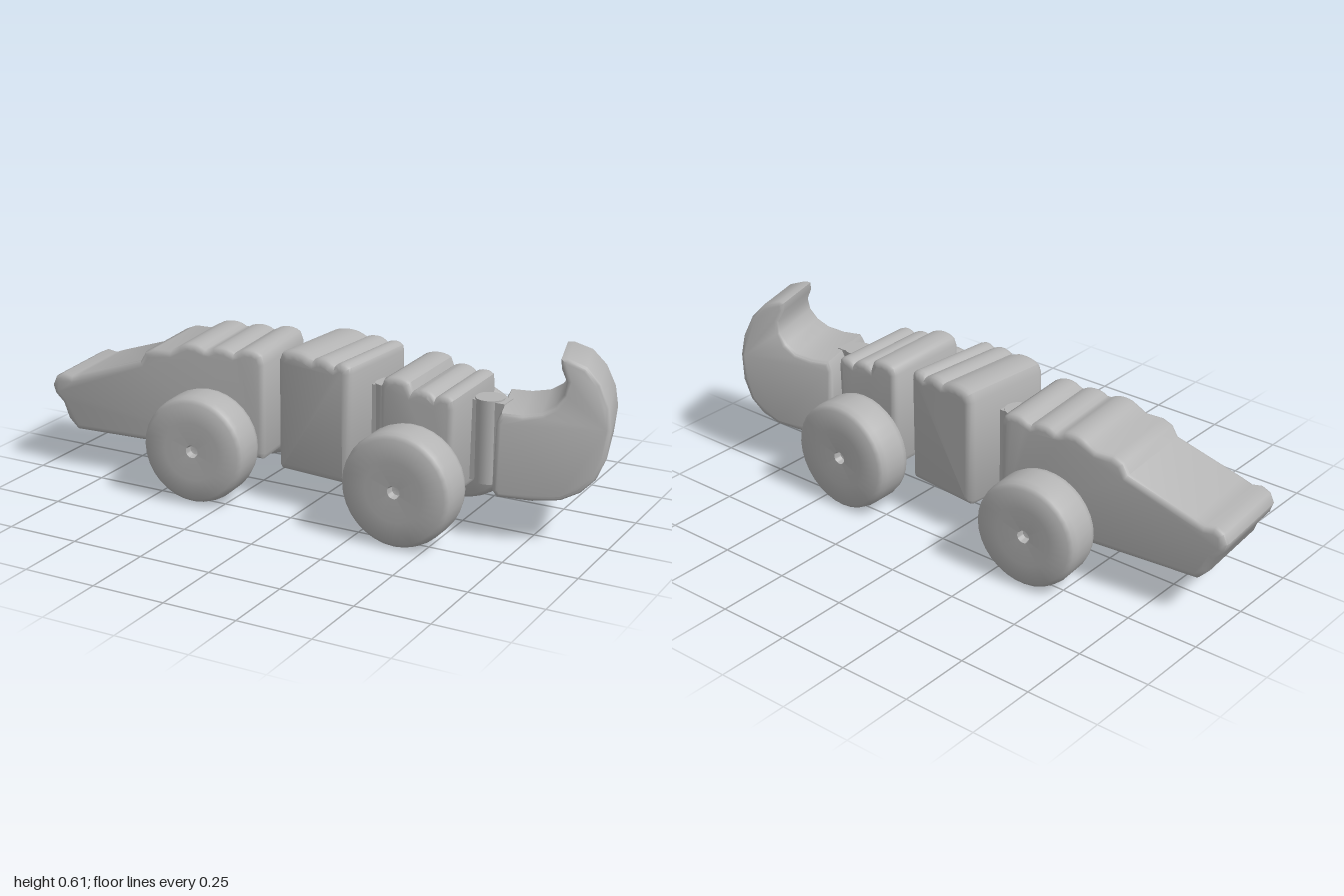
import * as THREE from 'three';
import { toCreasedNormals } from 'three/addons/utils/BufferGeometryUtils.js';

const paint = new THREE.MeshStandardMaterial({ color: 0xb4b4b4 });
paint.name = 'plainGrey';

function add(parent, name, geometry, x = 0, y = 0, z = 0) {
  const mesh = new THREE.Mesh(geometry, paint);
  mesh.name = name;
  mesh.position.set(x, y, z);
  parent.add(mesh);
  return mesh;
}

// Side profile given as [x, y] points, extruded across z with softened edges
function slab(points, width, bevel = 0.02) {
  const shape = new THREE.Shape(points.map(([x, y]) => new THREE.Vector2(x, y)));
  const geo = new THREE.ExtrudeGeometry(shape, {
    depth: width - 2 * bevel, bevelEnabled: true, bevelThickness: bevel,
    bevelSize: bevel, bevelOffset: -bevel, bevelSegments: 3, curveSegments: 8,
  });
  geo.translate(0, 0, -(width - 2 * bevel) / 2);
  return geo;
}

// Row of rounded ridges from right to left, each [xRight, xLeft, height]
function ridges(list, depth = 0.025) {
  const points = [];
  for (const [a, b, top] of list) {
    for (let i = 0; i <= 6; i++) {
      const t = 0.06 + 0.88 * i / 6;
      const rise = Math.pow(Math.sin(Math.PI * t), 0.5);
      points.push([a + (b - a) * t, top - depth * (1 - rise)]);
    }
  }
  return points;
}

const crease = (geo) => toCreasedNormals(geo, 0.75);

// Rounded disc with a small square peg hole in the middle of its outer face
function wheelGeometry(radius, width) {
  const h = width / 2;
  const profile = [[0, h - 0.035], [0.018, h - 0.03], [0.022, h - 0.004], [0.1, h],
    [radius - 0.018, h - 0.004], [radius - 0.005, h - 0.014], [radius, h - 0.035],
    [radius, -h + 0.03], [radius - 0.005, -h + 0.01], [radius - 0.018, -h], [0, -h]]
    .reverse().map(([r, y]) => new THREE.Vector2(r, y));
  const geo = new THREE.LatheGeometry(profile, 32);
  geo.rotateX(Math.PI / 2);
  return crease(geo.toNonIndexed());
}

function addWheels(parent, x, y, radius, z) {
  const geo = wheelGeometry(radius, 0.145);
  add(parent, 'leftWheel', geo, x, y, z);
  add(parent, 'rightWheel', geo, x, y, -z).rotation.y = Math.PI;
  const axle = new THREE.CylinderGeometry(0.03, 0.03, 2 * z, 16).rotateX(Math.PI / 2);
  add(parent, 'axle', axle, x, y, 0);
}

function section(root, name, x, z, turn) {
  const group = new THREE.Group();
  group.name = name;
  group.position.set(x, 0, z);
  group.rotation.y = turn;
  root.add(group);
  return group;
}

export function createModel() {
  const root = new THREE.Group();
  root.name = 'jointedToyCrocodile';

  // Head with sloping snout, brow and ridged neck
  const head = section(root, 'headSection', -0.365, -0.005, 0.087);
  add(head, 'head', crease(slab([
    [-0.53, 0.145], [0.18, 0.14], [0.19, 0.16], [0.19, 0.47],
    ...ridges([[0.185, 0.085, 0.515], [0.085, -0.02, 0.51], [-0.02, -0.13, 0.51]]),
    [-0.16, 0.475], [-0.22, 0.475], [-0.255, 0.46], [-0.275, 0.425],
    [-0.51, 0.35], [-0.545, 0.337], [-0.58, 0.343], [-0.61, 0.328], [-0.625, 0.295],
    [-0.615, 0.265], [-0.585, 0.235], [-0.565, 0.18],
  ], 0.33)));
  addWheels(head, 0, 0.195, 0.183, 0.25);

  // Middle body block
  const middle = section(root, 'middleSection', 0.052, -0.005, -0.1);
  add(middle, 'middleBody', crease(slab([
    [-0.13, 0.125], [0.13, 0.125], [0.14, 0.14], [0.14, 0.5],
    ...ridges([[0.14, 0.075, 0.53], [0.075, -0.01, 0.535], [-0.01, -0.135, 0.54]], 0.02),
    [-0.14, 0.5], [-0.14, 0.14],
  ], 0.345, 0.025)));

  // Rear body block
  const rear = section(root, 'rearSection', 0.405, 0.005, 0.01);
  add(rear, 'rearBody', crease(slab([
    [-0.115, 0.14], [0.115, 0.14], [0.125, 0.16], [0.13, 0.44],
    ...ridges([[0.13, 0.06, 0.48], [0.06, -0.02, 0.488], [-0.02, -0.12, 0.515]], 0.02),
    [-0.125, 0.48], [-0.125, 0.16],
  ], 0.335)));
  addWheels(rear, 0, 0.196, 0.19, 0.247);

  // Tail hooking upward, narrowing toward the tip
  const tail = section(root, 'tailSection', 0.79, -0.07, 0.28);
  const tailGeo = slab([
    [-0.17, 0.16], [-0.06, 0.155], [0.03, 0.165], [0.09, 0.195], [0.135, 0.24],
    [0.165, 0.31], [0.175, 0.4], [0.165, 0.47], [0.135, 0.54], [0.09, 0.59],
    [0.03, 0.612], [0.01, 0.61], [0.012, 0.58], [0.03, 0.54], [0.025, 0.5], [0, 0.465],
    [-0.04, 0.44], [-0.1, 0.43], [-0.165, 0.432], [-0.18, 0.4], [-0.185, 0.18],
  ], 0.305, 0.015);
  const pos = tailGeo.attributes.position;
  for (let i = 0; i < pos.count; i++) {
    const t = Math.max(0, (pos.getY(i) - 0.2) / 0.41);
    pos.setZ(i, pos.getZ(i) * (1 - 0.33 * Math.pow(t, 1.3)));
  }
  add(tail, 'tail', crease(tailGeo));

  // Upright hinge links between the sections
  for (const [x, z, length] of [[-0.135, -0.02, 0.13], [0.235, 0.01, 0.13], [0.58, -0.01, 0.13]]) {
    const link = section(root, 'hinge', x, z, 0);
    add(link, 'hingePlate', new THREE.BoxGeometry(length, 0.27, 0.07), 0, 0.3, 0);
    add(link, 'hingePin', new THREE.CylinderGeometry(0.048, 0.048, 0.28, 20), 0, 0.3, 0);
  }
  return root;
}
